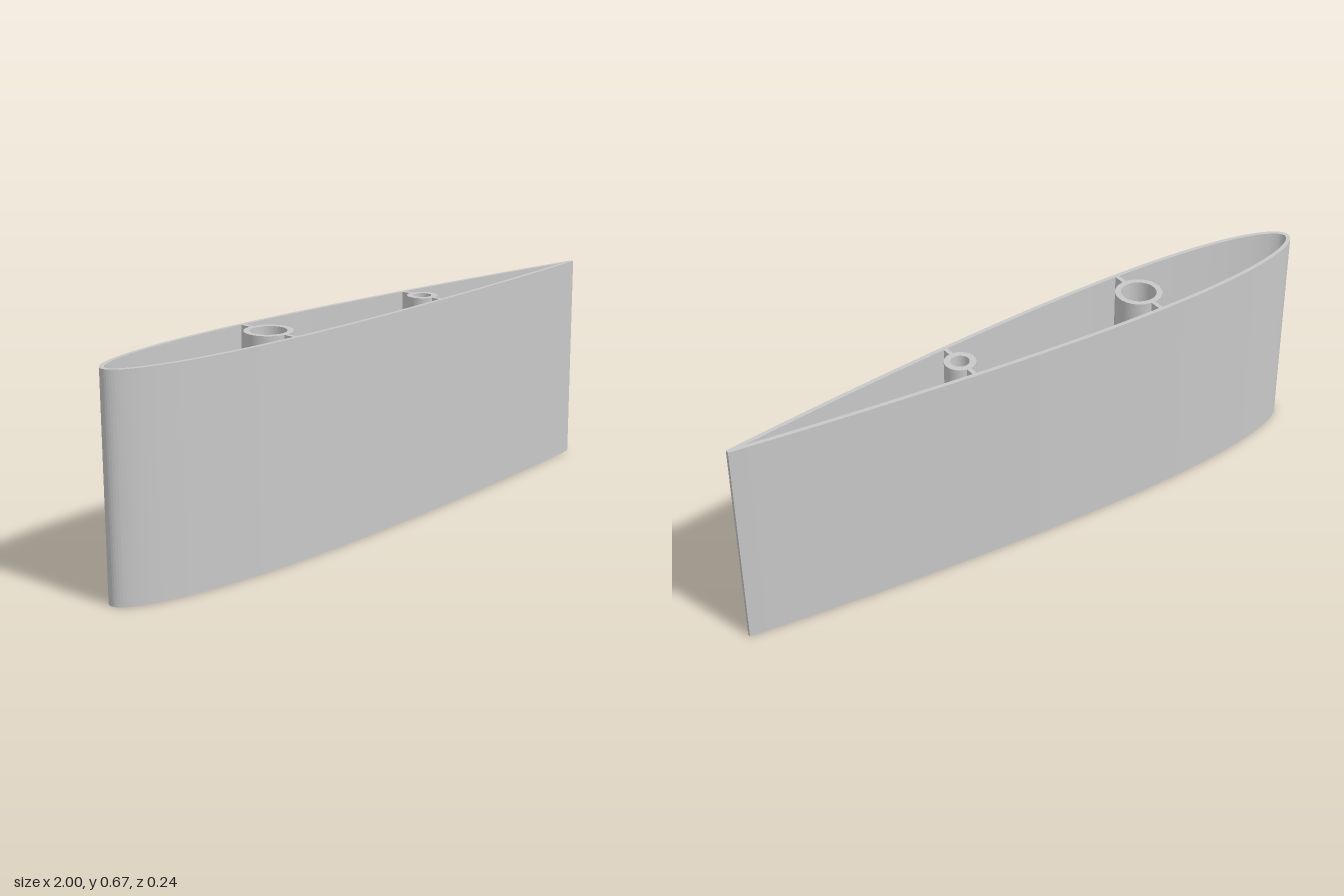
import * as THREE from 'three';

const HEIGHT = 0.667, WALL = 0.0133;

// Half thickness of a symmetric aerofoil, t = 0 at the nose and 1 at the tail
const halfThickness = t => 1.2 * (0.2969 * Math.sqrt(t) - 0.126 * t - 0.3516 * t * t
  + 0.2843 * t ** 3 - 0.1015 * t ** 4) + 0.0035 * t;

// Points on the upper side from nose to tail, moved inwards along the normal by inset
function upperSide(inset, steps = 60) {
  const points = [];
  for (let i = 0; i <= steps; i++) {
    const t = 1 - Math.cos(Math.PI / 2 * i / steps);
    const p = new THREE.Vector2(2 * t - 1, halfThickness(t));
    if (i === 0) { p.x += inset; p.y = 0; }
    else {
      const a = t * 0.999, b = Math.min(1, t * 1.001);
      const d = new THREE.Vector2(2 * (b - a), halfThickness(b) - halfThickness(a)).normalize();
      p.x += d.y * inset;
      p.y -= d.x * inset;
    }
    if (i > 0 && p.y <= 0.0005) break;
    points.push(p);
  }
  return points;
}

// Closed anticlockwise outline: upper side and its mirrored lower side
function outline(inset) {
  const up = upperSide(inset);
  const low = up.slice(1).reverse().map(p => new THREE.Vector2(p.x, -p.y));
  if (inset > 0) up.push(new THREE.Vector2(0.947, 0));
  return [...up, ...low].reverse();
}

// Plan shape raised to the full height
function raise(shape) {
  const g = new THREE.ExtrudeGeometry(shape, { depth: HEIGHT, bevelEnabled: false, curveSegments: 32 });
  return g.rotateX(-Math.PI / 2);
}

export function createModel() {
  const group = new THREE.Group();
  group.name = 'wingSection';
  const grey = new THREE.MeshStandardMaterial({ color: 0xc8c8c8 });
  grey.name = 'grey';
  const add = (name, geometry) => {
    const mesh = new THREE.Mesh(geometry, grey);
    mesh.name = name;
    group.add(mesh);
    return mesh;
  };

  // Hollow skin
  const skin = new THREE.Shape(outline(0));
  skin.holes.push(new THREE.Path(outline(WALL)));
  add('skin', raise(skin));

  // Spar tubes, each held by two webs
  const spars = [
    { name: 'mainSpar', x: -0.4, outer: 0.072, inner: 0.054 },
    { name: 'rearSpar', x: 0.25, outer: 0.047, inner: 0.028 },
  ];
  for (const { name, x, outer, inner } of spars) {
    const ring = new THREE.Shape().absarc(x, 0, outer, 0, Math.PI * 2);
    ring.holes.push(new THREE.Path().absarc(x, 0, inner, 0, Math.PI * 2));
    add(name + 'Tube', raise(ring));

    const start = outer - 0.003, end = halfThickness((x + 1) / 2) - WALL + 0.002;
    for (const side of [1, -1]) {
      const web = add(name + (side > 0 ? 'FrontWeb' : 'BackWeb'),
        new THREE.BoxGeometry(WALL, HEIGHT, end - start));
      web.position.set(x, HEIGHT / 2, side * (start + end) / 2);
    }
  }
  return group;
}
